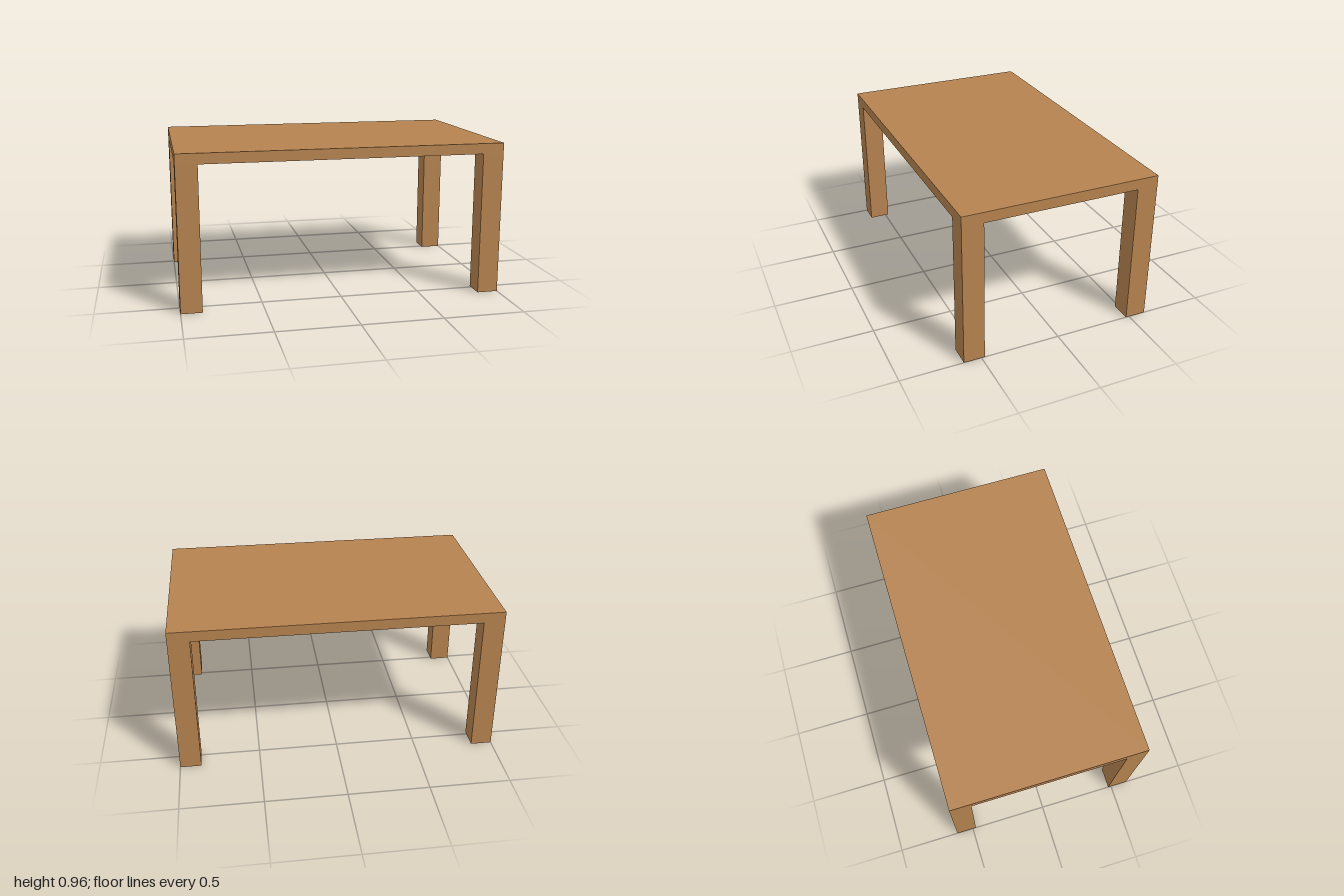
import * as THREE from 'three';

const WIDTH = 2, DEPTH = 1.22, HEIGHT = 0.957;
const TOP = 0.065, LEG = 0.131;

export function createModel() {
  const wood = new THREE.MeshStandardMaterial({ color: 0xb5824f });
  wood.name = 'wood';

  const table = new THREE.Group();
  table.name = 'table';

  // Slab resting on the four legs
  const tableTop = new THREE.Mesh(new THREE.BoxGeometry(WIDTH, TOP, DEPTH), wood);
  tableTop.name = 'tableTop';
  tableTop.position.y = HEIGHT - TOP / 2;
  table.add(tableTop);

  // Square legs flush with the corners
  const legHeight = HEIGHT - TOP;
  const legGeometry = new THREE.BoxGeometry(LEG, legHeight, LEG);
  for (const [endName, z] of [['front', 1], ['back', -1]]) {
    for (const [sideName, x] of [['Left', 1], ['Right', -1]]) {
      const leg = new THREE.Mesh(legGeometry, wood);
      leg.name = `${endName}${sideName}Leg`;
      leg.position.set(x * (WIDTH - LEG) / 2, legHeight / 2, z * (DEPTH - LEG) / 2);
      table.add(leg);
    }
  }
  return table;
}
